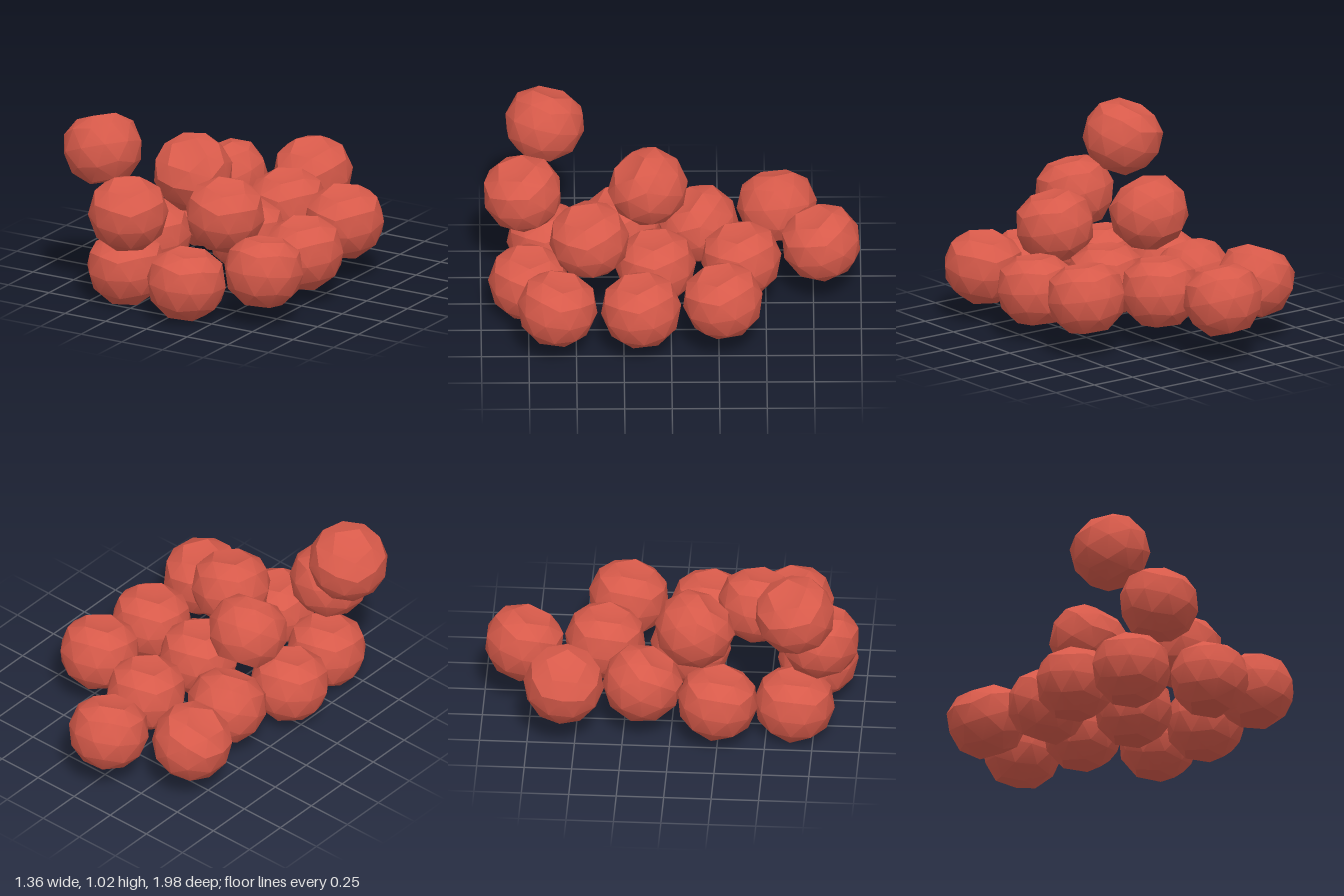
import * as THREE from 'three';
import { mergeVertices, toCreasedNormals } from 'three/addons/utils/BufferGeometryUtils.js';

const RADIUS = 0.213;

// One berry: a low-poly ball with a flat base and a dented five-sided crown.
function berryGeometry() {
  let g = new THREE.IcosahedronGeometry(1, 1);
  g.rotateX(-Math.atan2((1 + Math.sqrt(5)) / 2, 1)); // a five-fold corner points up
  g.rotateY(Math.PI / 2);
  const p = g.attributes.position;
  for (let i = 0; i < p.count; i++) {
    const y = p.getY(i);
    if (y > 0.95) p.setY(i, 0.68); // crown dent
    else if (y > 0.8) p.setY(i, 0.77); // crown rim
    else if (y < -0.95) p.setY(i, -0.8507); // flat base
  }
  g.deleteAttribute('normal');
  g.deleteAttribute('uv');
  g = toCreasedNormals(mergeVertices(g, 1e-4), 0.45);
  return g.scale(RADIUS, RADIUS, RADIUS);
}

// Centre x, y, z, then the lean of the crown in x and z, then its spin
const BERRIES = [
  // lower layer, back to front
  [-0.06, 0.345, -0.79, 0.06, 0.29, 0.3],
  [-0.44, 0.33, -0.56, -0.42, 0.1, 0],
  [0.04, 0.31, -0.37, 0, 0.13, 0],
  [0.45, 0.32, -0.27, 0.03, 0.19, 0],
  [-0.33, 0.285, -0.15, 0.06, 0.48, 0.3],
  [0.06, 0.28, 0.08, 0, 0.08, 0],
  [0.46, 0.27, 0.16, 0, 0.13, 0],
  [-0.42, 0.24, 0.25, 0, 0.16, 0],
  [0.48, 0.295, 0.6, 0, -0.16, 0],
  [0.095, 0.205, 0.75, 0.06, -0.04, 0],
  [-0.333, 0.19, 0.65, 0, 0.1, 0],
  // upper layer
  [-0.245, 0.577, 0.12, 0.13, 0.63, 0.3],
  [0.14, 0.5, 0.43, 0.16, 0.16, 0],
  [-0.245, 0.54, 0.78, 0.13, 0.23, 0.3],
  // top berry
  [-0.475, 0.83, 0.66, -0.32, -0.23, 0],
];

export function createModel() {
  const model = new THREE.Group();
  model.name = 'berryPile';
  const geometry = berryGeometry();
  const material = new THREE.MeshStandardMaterial({ color: 0xd75a4a });
  const up = new THREE.Vector3(0, 1, 0);

  BERRIES.forEach(([x, y, z, leanX, leanZ, spin], i) => {
    const berry = new THREE.Mesh(geometry, material);
    berry.name = `berry${i + 1}`;
    berry.position.set(x, y, z);
    const axis = new THREE.Vector3(leanX, Math.sqrt(1 - leanX ** 2 - leanZ ** 2), leanZ);
    berry.quaternion.setFromUnitVectors(up, axis);
    berry.rotateY(spin);
    model.add(berry);
  });
  return model;
}
